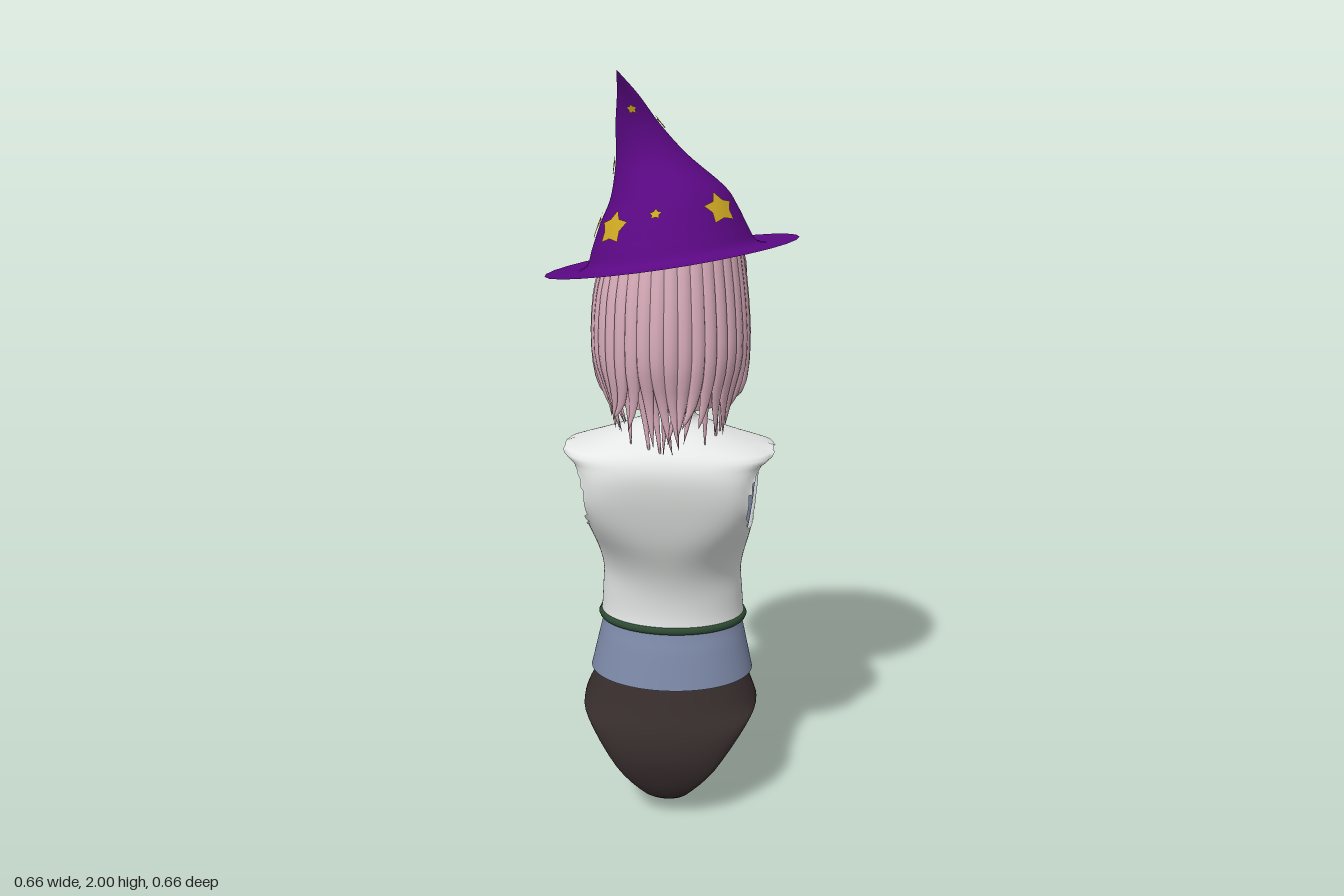
import * as THREE from 'three';
import { mergeVertices } from 'three/addons/utils/BufferGeometryUtils.js';

const { sin, cos, PI, abs, sqrt, exp, max, min } = Math;
const V = (x, y, z) => new THREE.Vector3(x, y, z);
const mat = (name, color) => new THREE.MeshStandardMaterial({ name, color, side: THREE.DoubleSide });

// Smooth lookup in a table whose first column is the key
function look(table, k) {
  let i = 0;
  while (i < table.length - 2 && k > table[i + 1][0]) i++;
  const a = table[i], b = table[i + 1], p = table[i - 1] || a, n = table[i + 2] || b;
  const h = b[0] - a[0], t = min(1, max(0, (k - a[0]) / h)), t2 = t * t, t3 = t2 * t;
  return a.slice(1).map((v, j) => {
    const c = j + 1, m0 = (b[c] - p[c]) / (b[0] - p[0]), m1 = (n[c] - a[c]) / (n[0] - a[0]);
    return (2 * t3 - 3 * t2 + 1) * v + (t3 - 2 * t2 + t) * h * m0 + (3 * t2 - 2 * t3) * b[c] + (t3 - t2) * h * m1;
  });
}

// Grid surface; cut(p) moves p to the rim of an opening and returns true when p lies in it
function loft(name, material, nu, nv, fn, cut = () => false) {
  const pos = [], inside = [], index = [];
  for (let j = 0; j <= nv; j++) for (let i = 0; i <= nu; i++) {
    const p = fn(i / nu, j / nv);
    inside.push(cut(p));
    pos.push(p.x, p.y, p.z);
  }
  const tri = (a, b, c) => { if (!(inside[a] && inside[b] && inside[c])) index.push(a, b, c); };
  for (let j = 0; j < nv; j++) for (let i = 0; i < nu; i++) {
    const a = j * (nu + 1) + i, b = a + 1, c = a + nu + 1, d = c + 1;
    tri(a, b, c); tri(b, d, c);
  }
  let g = new THREE.BufferGeometry();
  g.setAttribute('position', new THREE.Float32BufferAttribute(pos, 3));
  g.setIndex(index);
  g = mergeVertices(g, 1e-5);
  g.computeVertexNormals();
  const m = new THREE.Mesh(g, material);
  m.name = name;
  return m;
}

// Hat rings: key, height, centre x, centre z, radius
const HAT = [[0, 1.535, 0, 0, .328], [1, 1.53, 0, 0, .27], [2, 1.54, 0, 0, .222], [3, 1.585, -.004, 0, .2],
  [4, 1.64, -.006, 0, .177], [5, 1.7, -.01, .003, .145], [6, 1.79, -.05, .008, .09], [7, 1.87, -.082, .033, .055],
  [8, 1.94, -.1, .08, .027], [9, 2, -.12, .14, 0]];
function hatPoint(a, t, lift = 0) {
  const [y, cx, cz, r] = look(HAT, t);
  const x = cx + (r + lift) * cos(a), z = cz + (r + lift) * sin(a);
  return V(x, y + (.16 * x + .05 * z) * min(1, (2 - y) / .46) + lift * .5, z);
}

// Torso: height, half width, front z, back z
const TORSO = [[.36, .238, -.197, .17], [.46, .215, -.2, .13], [.52, .202, -.197, .103], [.6, .195, -.182, .1],
  [.68, .192, -.18, .118], [.8, .218, -.19, .17], [.9, .232, -.175, .2], [.97, .238, -.14, .213], [1.01, .252, -.115, .212],
  [1.04, .28, -.1, .2], [1.06, .22, -.088, .18], [1.085, .14, -.07, .14], [1.11, .075, -.05, .1], [1.14, .062, -.042, .09]];
function torsoPoint(a, y, inset = 0) {
  const [w, zf, zb] = look(TORSO, y);
  const n = 2 + 3 * exp(-(((y - .92) / .11) ** 2));
  const k = (abs(sin(a)) ** n + abs(cos(a)) ** n) ** (-1 / n);
  const x = (w - inset) * sin(a) * k, p = V(x, y, (zf + zb) / 2 + ((zb - zf) / 2 - inset) * cos(a) * k);
  if (cos(a) < 0) p.z -= .112 * sqrt(-cos(a)) * exp(-(((abs(x) - .11) / .072) ** 2) - ((y - .8) / (y > .8 ? .11 : .08)) ** 2);
  return p;
}
function armCut(p) {
  const dy = p.y - .936, dz = p.z - .063, d = Math.hypot(dy, dz), R = .112;
  if (abs(p.x) < .09 || d >= R) return false;
  const k = R / max(d, 1e-4);
  p.y = .936 + dy * k; p.z = .063 + dz * k;
  return true;
}
const OPENING = [[.52, .05], [.65, .032], [.8, .036], [.95, .05], [1.05, .032], [1.14, .022]];
function vestCut(p) {
  const o = look(OPENING, p.y)[0];
  if (p.z < 0 && abs(p.x) < o) { p.x = p.x < 0 ? -o : o; return true; }
  return armCut(p);
}
const shirtCut = p => (p.y > .57 && p.z > 0) || armCut(p);
const chestCut = p => (p.y < 1 && p.z < 0) || armCut(p);

// Head: height, half width, front z, back z
const HEAD = [[1.18, .012, -.135, -.1], [1.2, .048, -.155, -.05], [1.24, .083, -.168, .01], [1.3, .113, -.17, .05],
  [1.38, .13, -.168, .09], [1.46, .135, -.175, .11], [1.54, .125, -.16, .11], [1.6, .07, -.09, .06]];
function headPoint(a, y) {
  const [w, zf, zb] = look(HEAD, y);
  const x = w * sin(a), p = V(x, y, (zf + zb) / 2 + (zb - zf) / 2 * cos(a));
  if (cos(a) < 0) p.z -= .036 * exp(-((x / .02) ** 2) - ((y - 1.33) / .033) ** 2)
    + .014 * exp(-((x / .03) ** 2) - ((y - 1.262) / .02) ** 2);
  return p;
}
// Thin patch laid on the face from an outline
function faceDecal(name, material, pts, lift) {
  const g = new THREE.ShapeGeometry(new THREE.Shape(pts.map(([x, y]) => new THREE.Vector2(x, y))));
  const p = g.attributes.position;
  for (let i = 0; i < p.count; i++) {
    const x = p.getX(i), y = p.getY(i), w = look(HEAD, y)[0];
    p.setZ(i, headPoint(PI - Math.asin(max(-1, min(1, x / w))), y).z - lift);
  }
  g.computeVertexNormals();
  const m = new THREE.Mesh(g, material);
  m.name = name;
  return m;
}
const oval = (cx, cy, rx, ry) => Array.from({ length: 16 }, (_, i) =>
  [cx + rx * cos(i * PI / 8), cy + ry * sin(i * PI / 8)]);
function arch(cx, cy, rx, ry, thick) {
  const out = [], inner = [];
  for (let i = 0; i <= 8; i++) {
    const a = .15 + i / 8 * (PI - .3), x = cx + rx * cos(a), y = cy + ry * sin(a);
    out.push([x, y + thick * sqrt(sin(a))]); inner.unshift([x, y]);
  }
  return out.concat(inner);
}

// Flattened lock of hair tapering to a point
function lock(name, material, pts, width, thick) {
  const curve = new THREE.CatmullRomCurve3(pts);
  return loft(name, material, 8, 12, (u, v) => {
    const c = curve.getPoint(v), out = V(c.x, 0, c.z - .02).normalize();
    const side = curve.getTangent(v).cross(out).normalize();
    const k = sqrt(max(0, 1 - v ** 4)) * (v > .6 ? 1 - (v - .6) * 1.6 : 1), a = u * 2 * PI;
    return c.addScaledVector(side, width * k * cos(a)).addScaledVector(out, thick * k * sin(a));
  });
}

// Leotard rows: key, edge y, edge z, half width, centre y, centre z, front waist to back waist
const LEOTARD = [[0, .375, -.01, .21, .375, -.178], [1, .3, .02, .242, .31, -.187], [2, .275, -.09, .22, .25, -.187],
  [3, .16, -.15, .135, .17, -.185], [4, .07, -.11, .06, .07, -.13], [5, .02, -.02, .04, .008, -.02],
  [6, .02, .06, .04, .005, .06], [7, .07, .17, .06, .06, .185], [8, .16, .2, .135, .17, .232],
  [9, .275, .13, .22, .26, .222], [10, .3, .02, .242, .32, .185], [11, .375, -.01, .21, .375, .148]];

export function createModel() {
  const root = new THREE.Group();
  const add = (...m) => root.add(...m);
  const purple = mat('purple felt', 0x5b0884), gold = mat('gold', 0xcfa824), pink = mat('pink hair', 0xd9adbb),
    skin = mat('skin', 0xd2b48c), white = mat('white cloth', 0xe4e7e5), slate = mat('slate cloth', 0x7884a2),
    brown = mat('dark brown cloth', 0x352b2b), green = mat('dark green trim', 0x2d4a33),
    dark = mat('dark lash', 0x1e1719), mauve = mat('mauve iris', 0x8d6a90);

  // Hat with bent tip, and stars as angle, ring key, size
  add(loft('hat', purple, 28, 54, (u, v) => hatPoint(u * 2 * PI, v * 9)));
  const stars = [[.68, 4.15, .052], [2.36, 3.85, .05], [1.68, 4.3, .016], [3.03, 3.9, .044], [-1.54, 5, .046],
    [-2.34, 3.9, .026], [-.85, 4.3, .009], [-.9, 6.1, .01], [-.23, 7, .019], [1.5, 7.5, .012], [3.1, 5.8, .02]];
  stars.forEach(([a, t, size]) => {
    const r = look(HAT, t)[3];
    add(loft('hatStar', gold, 10, 2, (u, v) => {
      const i = Math.round(u * 10), s = v * size * (i % 2 ? .6 : 1), b = u * 2 * PI + PI / 2;
      return hatPoint(a + s * cos(b) / r, t + s * sin(b) / .07, .004);
    }));
  });

  // Head, neck and face
  add(loft('head', skin, 64, 50, (u, v) => headPoint(u * 2 * PI, 1.18 + v * .42)));
  const neck = new THREE.Mesh(new THREE.CylinderGeometry(.053, .058, .22, 24, 1, true), skin);
  neck.name = 'neck';
  neck.position.set(0, 1.16, .018);
  const choker = new THREE.Mesh(new THREE.TorusGeometry(.062, .009, 8, 32).rotateX(PI / 2), green);
  choker.name = 'choker';
  choker.position.set(0, 1.136, .02);
  add(neck, choker);
  for (const s of [-1, 1]) {
    add(faceDecal('eyeWhite', white, oval(s * .062, 1.376, .033, .02), .003),
      faceDecal('iris', mauve, oval(s * .06, 1.378, .018, .02), .005),
      faceDecal('pupil', dark, oval(s * .06, 1.378, .009, .012), .007),
      faceDecal('upperLash', dark, arch(s * .064, 1.376, .041, .016, .015), .009),
      faceDecal('eyebrow', dark, arch(s * .066, 1.43, .04, .01, .012), .005));
  }

  // Hair: scalp cap, two rings of hanging locks, swept fringe; roots follow the tilt of the hat
  add(loft('hairCap', pink, 32, 10, (u, v) => {
    const a = -.4 + u * (PI + .8), r = .145 + .035 * sin(v * PI * .7);
    return V(r * cos(a), 1.16 + v * (.37 + .16 * r * cos(a)), .015 + (r + .006) * sin(a));
  }));
  for (const [n, r, low, w] of [[24, .184, 1.09, .021], [19, .168, 1.05, .018]]) {
    for (let i = 0; i < n; i++) {
      const a = -.42 + i / (n - 1) * (PI + .84), j = sin(i * 7.3 + n), back = max(0, sin(a));
      const at = (k, y, da = 0) => V(k * cos(a + da), y, .015 + (k + .012) * sin(a + da));
      add(lock('hairLock', pink, [at(r - .012, 1.54 + .16 * r * cos(a)), at(r + .005, 1.44), at(r + .012, 1.3),
        at(r - .006 + .006 * j, 1.19, .05 * j), at(r - .04 + .04 * back + .012 * j, low + .035 * j + .06 * (1 - back), .2 * j)],
        w, .013));
    }
  }
  for (const s of [-1, 1]) {
    for (let i = 0; i < 5; i++) {
      const x = .01 + i * .032, q = i / 4, drop = .16 * s * x;
      add(lock('fringeLock', pink, [V(s * x, 1.535 + drop, -.17 + .065 * q), V(s * (x + .02), 1.515 + drop, -.197 + .075 * q),
        V(s * (x * .7 + .085), 1.488, -.158 + .07 * q), V(s * (.15 + .02 * q), 1.44 - .13 * q, -.06 + .015 * q)], .022, .012));
    }
    add(lock('sideLock', pink, [V(s * .16, 1.53 + .026 * s, -.075), V(s * .178, 1.42, -.045),
      V(s * .175, 1.28, -.03), V(s * .14, 1.13, -.02)], .024, .013));
  }

  // Open vest with arm holes, shirt front and hem beneath, bare upper chest and shoulders
  const body = (name, m, y0, y1, inset, cut) => loft(name, m, 96, 64,
    (u, v) => torsoPoint(u * 2 * PI, y0 + v * (y1 - y0), inset), cut);
  add(body('vest', white, .52, 1.14, 0, vestCut), body('shirt', slate, .372, 1.03, .008, shirtCut),
    body('chest', skin, .92, 1.14, .011, chestCut));
  const gap = PI - .25;
  const hem = new THREE.CatmullRomCurve3(Array.from({ length: 41 }, (_, i) => torsoPoint(-gap + i / 20 * gap, .523, .005)));
  const trim = new THREE.Mesh(new THREE.TubeGeometry(hem, 80, .012, 8), green);
  trim.name = 'vestTrim';
  add(trim);

  // Leotard bottom with leg openings
  add(loft('leotard', brown, 24, 44, (u, v) => {
    const [ey, ez, w, cy, cz] = look(LEOTARD, v * 11), a = (u - .5) * PI, k = cos(a);
    return V(w * sin(a), ey + (cy - ey) * k, ez + (cz - ez) * k);
  }));
  return root;
}
